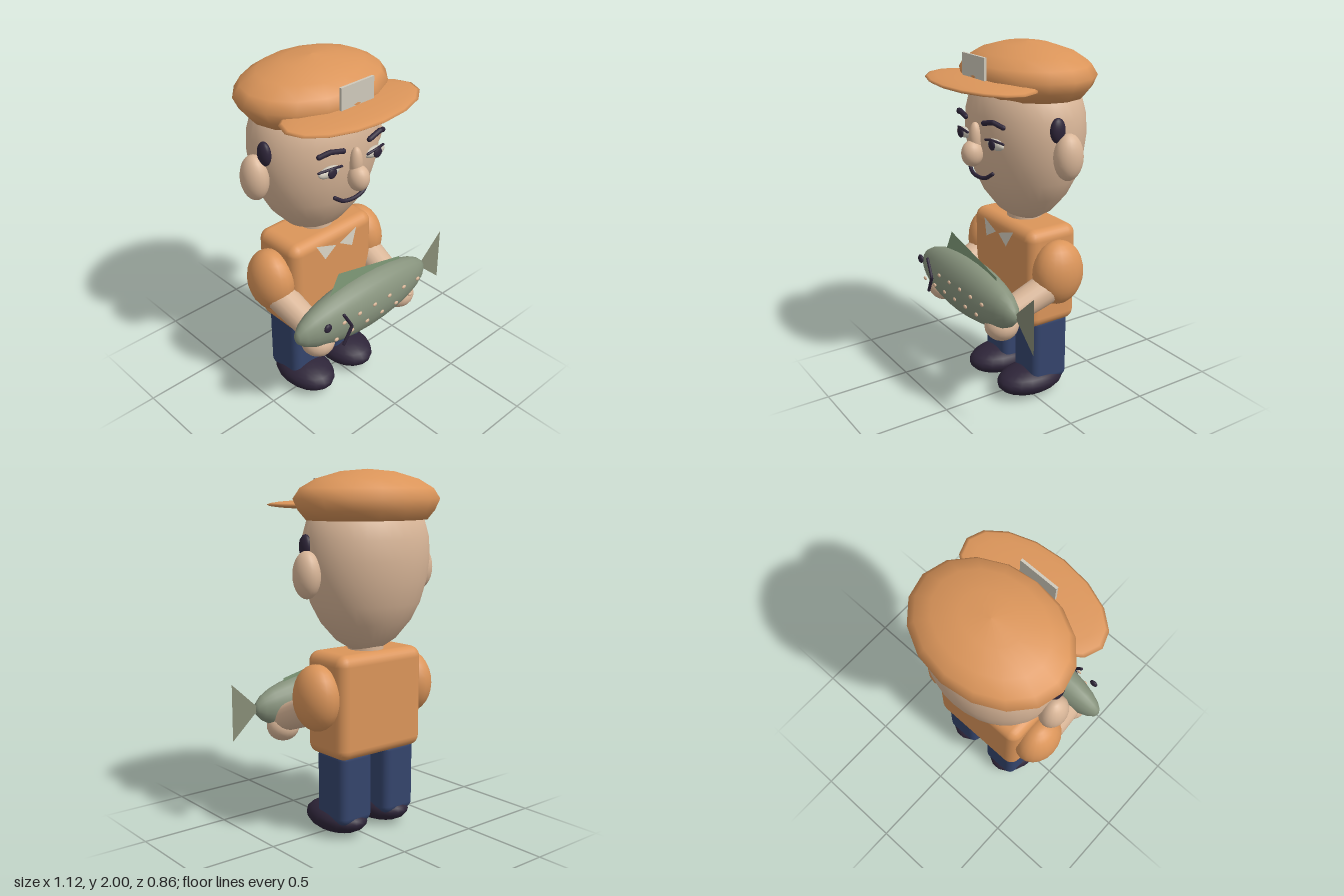
import * as THREE from 'three';
import { RoundedBoxGeometry } from 'three/addons/geometries/RoundedBoxGeometry.js';

const mat = (name, color, extra = {}) => {
  const m = new THREE.MeshStandardMaterial({ color, ...extra });
  m.name = name;
  return m;
};

export function createModel() {
  const skin = mat('skin', 0xd9b698);
  const orange = mat('orange cloth', 0xdb955a);
  const navy = mat('navy trousers', 0x34446c);
  const dark = mat('dark plum', 0x2e2539);
  const cream = mat('cream', 0xcfc9bb, { side: THREE.DoubleSide });
  const scales = mat('fish grey green', 0x87937d);
  const finGreen = mat('fin green', 0x7f9a78, { side: THREE.DoubleSide });
  const tailGreen = mat('tail green', 0x878c76, { side: THREE.DoubleSide });

  const root = new THREE.Group();
  root.name = 'fisherman';
  // The figure's own centre line sits at x = -0.08
  const man = new THREE.Group();
  man.name = 'figure';
  man.position.x = -0.08;
  root.add(man);

  const add = (name, geometry, material, x = 0, y = 0, z = 0) => {
    const m = new THREE.Mesh(geometry, material);
    m.name = name;
    m.position.set(x, y, z);
    man.add(m);
    return m;
  };
  const ball = (name, material, [x, y, z], [rx, ry, rz], w = 20, h = 14) =>
    add(name, new THREE.SphereGeometry(1, w, h).scale(rx, ry, rz), material, x, y, z);
  const box = (name, material, [x, y, z], [w, h, d], r) =>
    add(name, new RoundedBoxGeometry(w, h, d, 3, r), material, x, y, z);
  const tube = (name, pts, r, material, straight = false) => {
    const v = pts.map(p => new THREE.Vector3(...p));
    let path = new THREE.CatmullRomCurve3(v);
    if (straight) {
      path = new THREE.CurvePath();
      for (let i = 1; i < v.length; i++) path.add(new THREE.LineCurve3(v[i - 1], v[i]));
    }
    const g = add(name, new THREE.TubeGeometry(path, 16, r, 8), material);
    // Rounded ends
    for (const p of [pts[0], pts[pts.length - 1]]) ball(name + 'End', material, p, [r, r, r], 8, 6);
    return g;
  };
  const lathe = (name, profile, seg, zScale, material, z) =>
    add(name, new THREE.LatheGeometry(profile.map(p => new THREE.Vector2(...p)), seg)
      .scale(1, 1, zScale), material, 0, 0, z);
  const plate = (name, pts, material, z) =>
    add(name, new THREE.ShapeGeometry(new THREE.Shape(pts.map(p => new THREE.Vector2(...p)))),
      material, 0, 0, z);

  // Head and neck
  lathe('head', [[0, 1.02], [0.09, 1.035], [0.18, 1.09], [0.27, 1.19], [0.325, 1.29],
    [0.362, 1.41], [0.379, 1.53], [0.372, 1.64], [0.342, 1.74], [0.26, 1.84], [0, 1.88]],
  32, 0.805, skin, -0.085);
  add('neck', new THREE.CylinderGeometry(0.1, 0.1, 0.12, 20), skin, 0, 1.03, -0.085);

  // Flat cap
  lathe('capCrown', [[0, 1.735], [0.36, 1.735], [0.405, 1.785], [0.435, 1.845], [0.395, 1.9],
    [0.305, 1.948], [0.16, 1.987], [0, 2]], 16, 0.772, orange, -0.096);
  ball('capBrim', orange, [0, 1.812, 0.195], [0.425, 0.027, 0.228], 16, 10);
  add('capBadge', new THREE.BoxGeometry(0.218, 0.13, 0.014), cream, 0, 1.89, 0.229);

  // Nose and mouth
  ball('noseBridge', skin, [0, 1.52, 0.23], [0.035, 0.087, 0.035]);
  ball('noseTip', skin, [0, 1.44, 0.25], [0.056, 0.071, 0.06]);
  tube('mouth', [[-0.115, 1.345, 0.198], [-0.07, 1.315, 0.21], [0, 1.305, 0.215],
    [0.07, 1.315, 0.21], [0.115, 1.345, 0.198]], 0.011, dark);

  // Torso
  box('torso', orange, [0, 0.7475, -0.08], [0.59, 0.575, 0.32], 0.06);

  for (const s of [-1, 1]) {
    // Ears and sideburns
    ball('ear', skin, [s * 0.4, 1.46, -0.083], [0.07, 0.125, 0.083]);
    ball('sideburn', dark, [s * 0.37, 1.6, -0.035], [0.03, 0.066, 0.044]);

    // Eyes, lids and brows
    ball('eye', cream, [s * 0.158, 1.515, 0.203], [0.07, 0.029, 0.025]);
    ball('pupil', dark, [s * 0.158, 1.517, 0.227], [0.029, 0.029, 0.011], 14, 10);
    tube('eyelid', [[s * 0.09, 1.53, 0.222], [s * 0.158, 1.542, 0.226],
      [s * 0.225, 1.53, 0.2]], 0.007, dark);
    tube('eyebrow', [[s * 0.09, 1.618, 0.232], [s * 0.17, 1.637, 0.225],
      [s * 0.22, 1.616, 0.198]], 0.014, dark, true);

    // Collar points
    const tri = [[0.148, 1.005, 0.09], [0.012, 0.962, 0.1], [0.1, 0.912, 0.108]];
    const collar = new THREE.BufferGeometry();
    collar.setAttribute('position', new THREE.Float32BufferAttribute(
      (s > 0 ? tri : [...tri].reverse()).flatMap(([x, y, z]) => [s * x, y, z]), 3));
    collar.computeVertexNormals();
    add('collarPoint', collar, cream);

    // Sleeve, forearm and hand
    ball('sleeve', orange, [s * 0.335, 0.8, -0.075], [0.118, 0.182, 0.15]);
    const from = new THREE.Vector3(s * 0.33, 0.73, -0.03);
    const to = new THREE.Vector3(s * 0.31, 0.62, 0.25);
    const arm = add('forearm', new THREE.CylinderGeometry(0.075, 0.088, from.distanceTo(to), 18), skin);
    arm.position.copy(from).lerp(to, 0.5);
    arm.quaternion.setFromUnitVectors(new THREE.Vector3(0, 1, 0), to.clone().sub(from).normalize());
    ball('hand', skin, [s * 0.31, 0.568, 0.273], [0.093, 0.083, 0.093]);

    // Leg and shoe
    box('leg', navy, [s * 0.155, 0.29, -0.09], [0.222, 0.42, 0.24], 0.045);
    ball('shoe', dark, [s * 0.155, 0.085, -0.02], [0.143, 0.085, 0.21], 18, 12);
  }

  // Fish body with its poles at nose and tail
  add('fishBody', new THREE.SphereGeometry(1, 20, 14).rotateZ(Math.PI / 2)
    .scale(0.485, 0.167, 0.115), scales, 0, 0.688, 0.295);
  plate('dorsalFin', [[-0.25, 0.81], [0.29, 0.82], [0.29, 0.84], [-0.175, 0.95]], finGreen, 0.29);
  plate('tailFin', [[0.46, 0.69], [0.635, 0.53], [0.635, 0.85]], tailGreen, 0.29);

  // Fish eye, gill line and spots
  ball('fishEye', dark, [-0.352, 0.75, 0.4], [0.025, 0.025, 0.013], 14, 10);
  tube('gill', [[-0.248, 0.785, 0.41], [-0.195, 0.69, 0.416], [-0.248, 0.593, 0.41]],
    0.009, dark, true);
  for (let i = 0; i < 6; i++) {
    const x = -0.24 + i * 0.113;
    ball('fishSpot', skin, [x, 0.728, 0.405], [0.015, 0.011, 0.007], 10, 8);
    ball('fishSpot', skin, [x - 0.057, 0.648, 0.405], [0.015, 0.011, 0.007], 10, 8);
  }
  return root;
}
